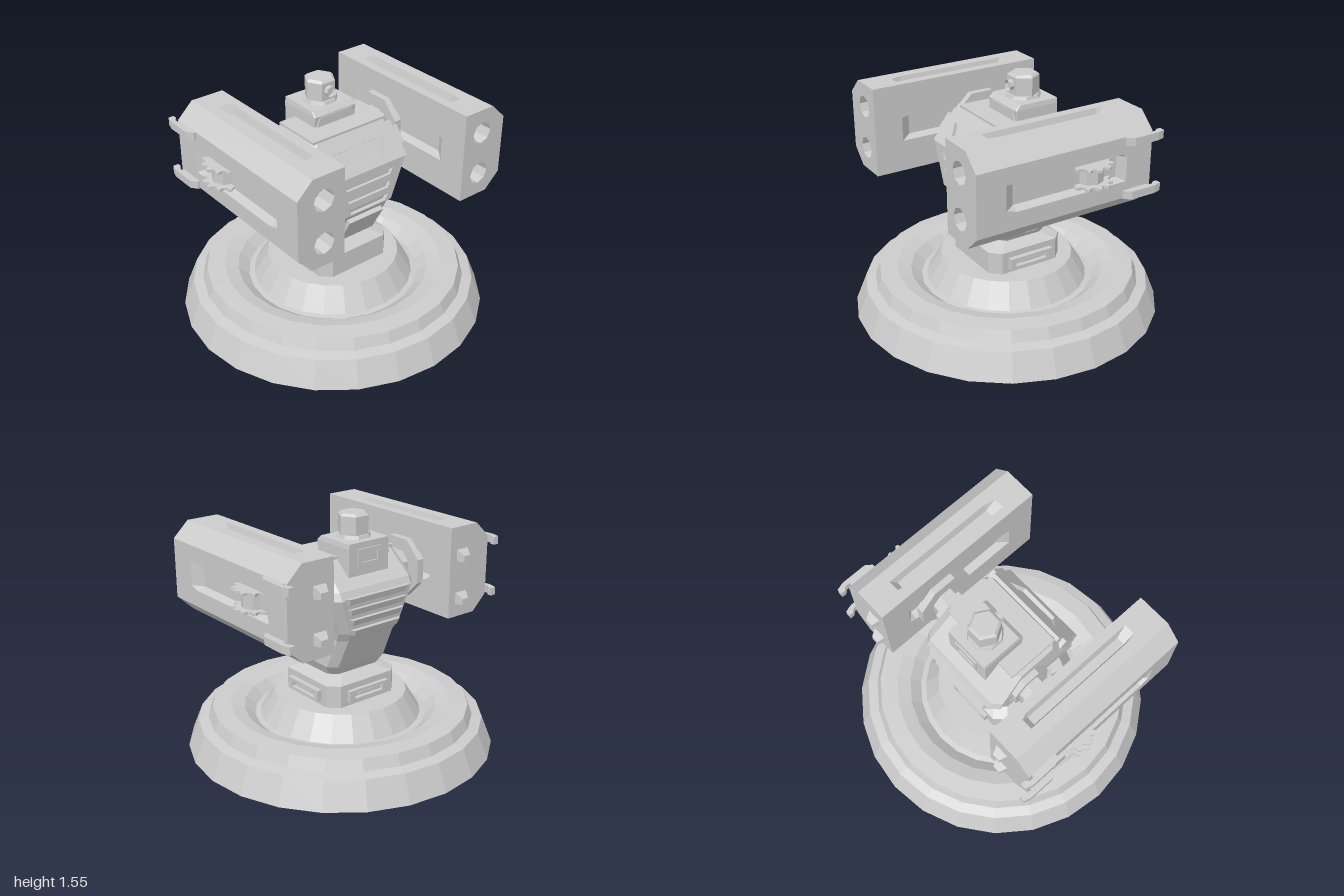
import * as THREE from 'three';

const mat = new THREE.MeshStandardMaterial({ color: 0xcccccc, flatShading: true, side: THREE.DoubleSide });
const V2 = (p) => new THREE.Vector2(p[0], p[1]);

function add(parent, name, geo, x = 0, y = 0, z = 0, rx = 0, ry = 0, rz = 0) {
  const m = new THREE.Mesh(geo, mat);
  m.name = name;
  m.position.set(x, y, z);
  m.rotation.set(rx, ry, rz);
  parent.add(m);
  return m;
}
const box = (w, h, d) => new THREE.BoxGeometry(w, h, d);
// Prism along x
const axle = (r1, r0, len, sides) => new THREE.CylinderGeometry(r1, r0, len, sides).rotateY(Math.PI / sides).rotateZ(-Math.PI / 2);

// Skin between rings of equal length; optional fan caps
function loft(rings, caps = true) {
  const pos = [];
  const n = rings[0].length;
  const tri = (...ps) => ps.forEach((p) => pos.push(...p));
  for (let i = 0; i < rings.length - 1; i++) {
    for (let j = 0; j < n; j++) {
      const k = (j + 1) % n;
      const [a, b, c, d] = [rings[i][j], rings[i][k], rings[i + 1][k], rings[i + 1][j]];
      tri(a, b, c);
      tri(a, c, d);
    }
  }
  if (caps) {
    const s = rings[0], e = rings[rings.length - 1];
    for (let j = 1; j < n - 1; j++) {
      tri(s[0], s[j + 1], s[j]);
      tri(e[0], e[j], e[j + 1]);
    }
  }
  const g = new THREE.BufferGeometry();
  g.setAttribute('position', new THREE.Float32BufferAttribute(pos, 3));
  g.computeVertexNormals();
  return g;
}
// Stack of chamfered rectangles: [y, halfWidth, zFront, zBack]
const stack = (rows, c) => loft(rows.map(([y, x, f, b]) => [
  [-x + c, f], [x - c, f], [x, f - c], [x, b + c], [x - c, b], [-x + c, b], [-x, b + c], [-x, f - c],
].map(([px, pz]) => [px, y, pz])));

// Symmetric trapezoid outline, and a plate with trapezoid slots cut through
const trap = (y0, w0, y1, w1) => [[-w0, y0], [w0, y0], [w1, y1], [-w1, y1]].map(V2);
function slotted(outline, slots, depth) {
  const s = new THREE.Shape(outline);
  slots.forEach((h) => s.holes.push(new THREE.Path(h)));
  return new THREE.ExtrudeGeometry(s, { depth, bevelEnabled: false });
}
// Outline in x,z extruded upward
const slab = (pts, h) => new THREE.ExtrudeGeometry(new THREE.Shape(pts.map(([x, z]) => new THREE.Vector2(x, -z))),
  { depth: h, bevelEnabled: false }).rotateX(-Math.PI / 2);

const BARRELS = [1.29, 1.01];

// Launcher section at station z, with grooves of depth d
const podRing = (z, d) => [
  [.46, .86], [.68, .86], [.785, .96], [.785, 1.065], [.785 - d, 1.085], [.785 - d, 1.22], [.785, 1.24],
  [.785, 1.345], [.68, 1.445], [.605, 1.445], [.59, 1.445 - d], [.535, 1.445 - d], [.52, 1.445], [.46, 1.445],
  [.46, 1.24], [.46 + d, 1.22], [.46 + d, 1.085], [.46, 1.065],
].map(([x, y]) => [x, y, z]);

function makeSide() {
  const g = new THREE.Group();
  g.name = 'armAndLauncher';
  // Launcher shell with drilled muzzle face
  add(g, 'launcherShell', loft([[-.51, 0], [-.33, 0], [-.29, .05], [.42, .05], [.49, 0], [.68, 0]].map(([z, d]) => podRing(z, d)), false));
  const outline = podRing(0, 0).map(V2);
  add(g, 'launcherRear', new THREE.ShapeGeometry(new THREE.Shape(outline)).rotateY(Math.PI).scale(-1, 1, 1), 0, 0, -.51);
  const face = new THREE.Shape(outline);
  for (const y of BARRELS) {
    const hole = [];
    for (let k = 0; k < 8; k++) hole.push(new THREE.Vector2(.605 + .072 * Math.cos(k * Math.PI / 4), y + .072 * Math.sin(k * Math.PI / 4)));
    face.holes.push(new THREE.Path(hole));
    add(g, 'barrelBore', new THREE.CylinderGeometry(.072, .072, .12, 8, 1, true), .605, y, .62, Math.PI / 2);
    add(g, 'barrelFloor', new THREE.CircleGeometry(.072, 8), .605, y, .56);
    // Tapered exhaust peg
    add(g, 'exhaustPeg', loft([[-.555, .025, -.03, .01], [-.51, .045, -.03, .045]].map(([z, w, b, t]) =>
      [[.56 - w, y + b - .035, z], [.56 + w, y + b - .035, z], [.56 + w, y + t - .035, z], [.56 - w, y + t - .035, z]])));
  }
  add(g, 'launcherFace', new THREE.ShapeGeometry(face), 0, 0, .68);
  // Rear clips
  const clip = [[.76, -.31], [.8, -.31], [.83, -.35], [.83, -.52], [.815, -.57], [.78, -.57], [.78, -.54], [.8, -.52], [.8, -.49], [.76, -.49]];
  for (const y of [.96, 1.297]) add(g, 'rearClip', slab(clip, .05), 0, y, 0);
  // Twin toothed wheels on a spindle
  const teeth = [];
  for (let k = 0; k < 48; k++) {
    const r = k % 4 < 2 ? .14 : .115, a = (k + .5) * Math.PI / 24;
    teeth.push([r * Math.cos(a), r * Math.sin(a)]);
  }
  for (const y of [1.088, 1.202]) add(g, 'toothedWheel', slab(teeth, .016), .72, y, -.11);
  add(g, 'wheelSpindle', new THREE.CylinderGeometry(.085, .085, .12, 8), .72, 1.153, -.11);
  // Arm and mount
  add(g, 'armShaft', axle(.105, .105, .2, 8), .38, 1.125, -.08);
  add(g, 'armCollar', axle(.14, .14, .04, 8), .335, 1.125, -.08);
  add(g, 'launcherMount', axle(.205, .205, .05, 8), .442, 1.115, -.075);
  // Waist pivot
  add(g, 'pivotCollar', axle(.1, .1, .08, 8), .25, .7, 0);
  add(g, 'pivotBolt', axle(.065, .075, .06, 8), .307, .7, 0);
  // Ribs on the tapered flank, shoulder bolt
  for (const [x, y] of [[.285, .94], [.262, .86]]) add(g, 'flankRib', box(.03, .04, .36), x, y, 0, 0, 0, -.33);
  add(g, 'shoulderBolt', box(.03, .12, .07), .305, 1.19, .24, -.67);
  return g;
}

export function createModel() {
  const root = new THREE.Group();
  root.name = 'turret';

  // Stepped round base with ring trough
  add(root, 'base', new THREE.LatheGeometry([[0, 0], [1, 0], [.93, .175], [.865, .19], [.835, .262], [.72, .268], [.63, .245],
    [.56, .19], [.525, .195], [.43, .35], [0, .35]].map(V2), 24));

  // Neck with framed panels
  add(root, 'neck', stack([[.34, .275, .265, -.265], [.495, .275, .265, -.265], [.535, .2, .19, -.19]], .065));
  for (const a of [0, 1, 2]) {
    const p = new THREE.Group();
    p.name = 'neckPanel';
    p.rotation.y = [Math.PI / 2, -Math.PI / 2, Math.PI][a];
    const out = a < 2 ? .27 : .255;
    add(p, 'panelFrame', slotted(trap(-.037, .155, .037, .155), [trap(-.02, .115, .02, .115)], .037), 0, .417, out);
    add(p, 'panelInsert', box(.15, .02, .03), 0, .417, out + .01);
    root.add(p);
  }

  // Torso
  add(root, 'torso', stack([[.53, .2, .17, -.17], [.6, .235, .21, -.21], [.8, .228, .32, -.3], [.86, .245, .332, -.335],
    [1.09, .325, .332, -.36], [1.14, .325, .29, -.335], [1.29, .31, .175, -.17]], .05));
  add(root, 'topPlate', box(.56, .02, .34), 0, 1.295, 0);
  add(root, 'chestGrille', slotted(trap(.83, .185, 1.1, .29), [[.835, .135, .875, .155], [.92, .155, .96, .175], [1.01, .17, 1.05, .19]]
    .map((s) => trap(...s)), .03), 0, 0, .322);
  add(root, 'browPlate', slotted(trap(0, .3, .24, .285), [trap(.05, .13, .16, .2)], .03), 0, 1.085, .33, -.67);
  add(root, 'bellyPlate', box(.27, .205, .03), 0, .68, .275, .5);
  // Cooling fins down the back
  for (let i = 0; i < 4; i++) {
    const y = .87 + i * .07;
    add(root, 'backFin', stack([[y - .02, .2 + i * .018, -.25, -.35 - i * .006], [y + .02, .205 + i * .018, -.25, -.368 - i * .004]], .03));
  }

  // Head block with vent, rotating sensor
  add(root, 'headBlock', stack([[1.14, .16, 0, -.275], [1.37, .16, .03, -.275], [1.4, .155, 0, -.275]], .005));
  add(root, 'headVisor', slotted(trap(1.3, .15, 1.365, .12), [], .01), 0, 0, .025);
  add(root, 'headVent', slotted(trap(1.25, .09, 1.36, .09), [trap(1.275, .065, 1.335, .065)], .012), 0, 0, -.285);
  add(root, 'sensorRing', new THREE.CylinderGeometry(.105, .115, .025, 8), 0, 1.408, -.125, 0, Math.PI / 8);
  add(root, 'sensorBody', new THREE.CylinderGeometry(.1, .1, .12, 6), 0, 1.475, -.125, 0, Math.PI / 6);
  add(root, 'sensorCap', new THREE.CylinderGeometry(.082, .1, .015, 6), 0, 1.5425, -.125, 0, Math.PI / 6);
  add(root, 'lensTube', new THREE.CylinderGeometry(.035, .035, .04, 8, 1, true), 0, 1.483, -.03, Math.PI / 2);
  add(root, 'lens', new THREE.CircleGeometry(.035, 8), 0, 1.483, -.033);

  // Arms, mirrored
  const left = makeSide();
  left.name = 'leftArmAndLauncher';
  const right = left.clone();
  right.name = 'rightArmAndLauncher';
  right.scale.x = -1;
  root.add(left, right);
  return root;
}
